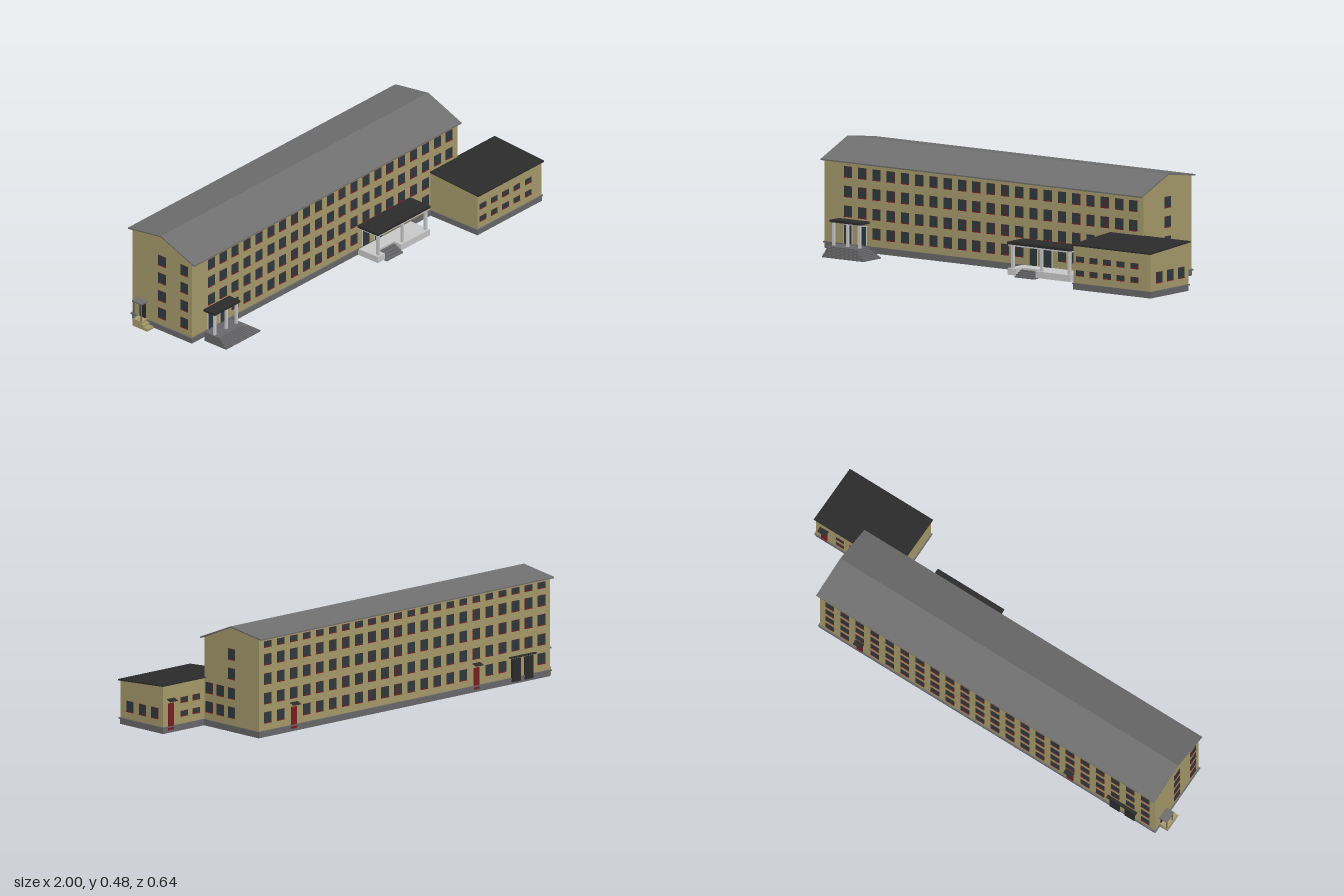
import * as THREE from 'three';
import { mergeGeometries } from 'three/addons/utils/BufferGeometryUtils.js';

const mat = (color) => new THREE.MeshStandardMaterial({ color, side: THREE.DoubleSide });
const WALL = mat(0xa99d6d), STONE = mat(0x6a6a6c), ROOF = mat(0x707070), DARK = mat(0x2c2c2c);
const RED = mat(0x7a2024), GLASS = mat(0x30393f), PALE = mat(0xd6d6d2);

// Box given by its min and max corners
function block(x0, x1, y0, y1, z0, z1) {
  return new THREE.BoxGeometry(x1 - x0, y1 - y0, z1 - z0)
    .translate((x0 + x1) / 2, (y0 + y1) / 2, (z0 + z1) / 2);
}

function add(parent, name, geometry, material) {
  const mesh = new THREE.Mesh(Array.isArray(geometry) ? mergeGeometries(geometry) : geometry, material);
  mesh.name = name;
  parent.add(mesh);
  return mesh;
}

const shapeOf = (pts) => new THREE.Shape(pts.map(([a, b]) => new THREE.Vector2(a, b)));

// Extrude a (z, y) profile from x0 to x1
function alongX(pts, x0, x1) {
  return new THREE.ExtrudeGeometry(shapeOf(pts), { depth: x1 - x0, bevelEnabled: false })
    .rotateY(-Math.PI / 2).translate(x1, 0, 0);
}

// Roof slab: top line of (z, y) points with a vertical thickness
function roofSlab(top, t, x0, x1) {
  const under = top.map(([z, y]) => [z, y - t]).reverse();
  return alongX([...top, ...under], x0, x1);
}

// Hollow walls open below; the end walls follow the (z, y) profile of the top
function wallShell(x0, x1, y0, top) {
  const [zf, yf] = top[0], [zb, yb] = top[top.length - 1];
  const end = shapeOf([[zf, y0], ...top, [zb, y0]]);
  const ends = [x0, x1].map((x) =>
    new THREE.ShapeGeometry(end).rotateY(-Math.PI / 2).translate(x, 0, 0));
  const sides = [[zf, yf], [zb, yb]].map(([z, y]) =>
    new THREE.PlaneGeometry(x1 - x0, y - y0).translate((x0 + x1) / 2, (y0 + y) / 2, z));
  return mergeGeometries([...ends, ...sides]);
}

// Horizontal ring around a rectangle, used for the plinth and its ledge
function ring(x0, x1, z0, z1, out, y0, y1) {
  const rect = (o) => [[x0 - o, -z1 - o], [x1 + o, -z1 - o], [x1 + o, -z0 + o], [x0 - o, -z0 + o]];
  const s = shapeOf(rect(out));
  s.holes.push(new THREE.Path(rect(-0.002).reverse().map(([a, b]) => new THREE.Vector2(a, b))));
  return new THREE.ExtrudeGeometry(s, { depth: y1 - y0, bevelEnabled: false })
    .rotateX(-Math.PI / 2).translate(0, y0, 0);
}

// Windows on one facade: [u, sill height, width, height], with u running along the wall
function windows(parent, name, list, position, angle) {
  const frames = [], panes = [];
  for (const [u, y, w, h] of list) {
    const l = u - w / 2, r = u + w / 2, g = 0.0015, bar = y + h * 0.72;
    frames.push(block(l, r, y, y + h, -0.012, 0.001), block(l, r, y - 0.002, y, 0, 0.004));
    panes.push(block(l + g / 2, u - g / 2, y + g, bar, 0, 0.002),
      block(u + g / 2, r - g / 2, y + g, bar, 0, 0.002),
      block(l + g / 2, r - g / 2, bar + g / 2, y + h - g / 2, 0, 0.002));
  }
  const group = new THREE.Group();
  group.name = name;
  add(group, 'windowFrames', frames, RED);
  add(group, 'windowPanes', panes, GLASS);
  group.position.set(...position);
  group.rotation.y = angle;
  parent.add(group);
}

export function createModel() {
  const model = new THREE.Group();
  model.name = 'building';
  const X0 = -0.96, X1 = 0.752, ZF = 0.043, ZB = -0.297;
  const AX0 = 0.58, AX1 = 0.994, AZ = 0.31;
  const sills = [0.08, 0.164, 0.25, 0.335], W = 0.044, H = 0.047, step = 0.0767;

  // Main block
  add(model, 'mainWalls', wallShell(X0, X1, 0.018, [[ZF, 0.405], [-0.127, 0.477], [ZB, 0.452]]), WALL);
  add(model, 'mainRoof', roofSlab([[0.062, 0.405], [-0.127, 0.482], [-0.316, 0.456]], 0.006, -0.967, 0.758), ROOF);
  add(model, 'mainPlinth', [ring(X0, X1, ZB, ZF, 0.001, 0.018, 0.041), ring(X0, X1, ZB, ZF, 0.006, 0.041, 0.047)], STONE);

  // Low wing
  add(model, 'wingWalls', wallShell(AX0, AX1, 0.018, [[AZ, 0.209], [ZF, 0.227]]), WALL);
  add(model, 'wingRoof', roofSlab([[0.319, 0.214], [0.036, 0.233]], 0.006, 0.575, 1.0), DARK);
  add(model, 'wingPlinth', [ring(AX0, AX1, ZF, AZ, 0.001, 0.018, 0.041), ring(AX0, AX1, ZF, AZ, 0.005, 0.041, 0.047)], STONE);

  // Front windows, leaving out the doors and the part behind the wing
  const front = [], back = [];
  sills.forEach((y, row) => {
    for (let i = 0; i < 21; i++) {
      if (row === 0 && [0, 1, 13, 14].includes(i)) continue;
      if (row < 2 && i > 18) continue;
      front.push([-0.835 + i * step, y, W, H]);
    }
  });
  windows(model, 'frontWindows', front, [0, 0, ZF], 0);

  // Back windows with a short attic row
  [...sills, 0.413].forEach((y, row) => {
    for (let i = 0; i < 22; i++) {
      if (row === 0 && [1, 2, 5, 19].includes(i)) continue;
      back.push([0.91 - i * step, y, W, row === 4 ? 0.026 : H]);
    }
  });
  windows(model, 'backWindows', back, [0, 0, ZB], Math.PI);

  // End windows
  const right = [], left = [];
  sills.forEach((y, row) => {
    right.push([0.127, y, W, H]);
    if (row < 2) right.push([-0.011, y, W, H], [0.058, y, W, H]);
    left.push([-0.127, y, W, H], [0.0, y, W, H]);
  });
  windows(model, 'rightEndWindows', right, [X1, 0, 0], Math.PI / 2);
  windows(model, 'leftEndWindows', left, [X0, 0, 0], -Math.PI / 2);

  // Wing windows
  const wingRows = [0.08, 0.14];
  windows(model, 'wingFrontWindows',
    wingRows.flatMap((y) => [0.615, 0.688, 0.761, 0.834, 0.907].map((x) => [x, y, 0.042, 0.023])), [0, 0, AZ], 0);
  windows(model, 'wingSideWindows', [0.249, 0.171, 0.095].map((z) => [-z, 0.08, W, H]), [AX1, 0, 0], Math.PI / 2);
  windows(model, 'wingBackWindows',
    wingRows.flatMap((y) => [0.8, 0.87].map((x) => [-x, y, 0.042, 0.023])), [0, 0, ZF], Math.PI);

  // Front doors
  add(model, 'frontDoors', [-0.835, -0.758, 0.162, 0.239].map((x) =>
    block(x - 0.02, x + 0.02, 0.045, 0.128, ZF - 0.01, ZF + 0.003)), GLASS);
  add(model, 'frontDoorFrames', [-0.835, -0.758, 0.162, 0.239].map((x) =>
    block(x - 0.024, x + 0.024, 0.045, 0.132, ZF - 0.008, ZF + 0.001)), PALE);

  // Back doors: two dark service doors, two red stair doors and one on the wing
  add(model, 'serviceDoors', [-0.833, -0.757].map((x) =>
    block(x - 0.025, x + 0.025, 0.028, 0.128, -0.304, ZB + 0.008)), DARK);
  add(model, 'serviceCanopy', block(-0.87, -0.72, 0.134, 0.139, -0.312, ZB), DARK);
  [[0.547, ZB, 0.1], [-0.527, ZB, 0.1], [0.95, ZF, 0.122]].forEach(([x, z, top]) => {
    add(model, 'redDoor', block(x - 0.016, x + 0.016, 0.03, top + 0.025, z - 0.004, z + 0.008), RED);
    const y = top + 0.038;
    add(model, 'doorCanopy', roofSlab([[z, y + 0.008], [z - 0.022, y]], 0.003, x - 0.022, x + 0.022), DARK);
  });

  // Left front porch: steps falling to the front and to one side
  const steps = [];
  for (let i = 0; i < 8; i++) {
    steps.push(block(-0.88, -0.657 - i * 0.0095, i * 0.0054, (i + 1) * 0.0054, ZF, 0.168 - i * 0.0055));
  }
  add(model, 'leftPorchSteps', steps, STONE);
  add(model, 'leftPorchCanopy', block(-0.885, -0.72, 0.144, 0.154, ZF, 0.107), DARK);
  add(model, 'leftPorchPosts', [-0.872, -0.797, -0.733].map((x) =>
    block(x - 0.005, x + 0.005, 0.043, 0.144, 0.09, 0.1)), PALE);

  // Middle porch: platform with a flight of steps let into it
  add(model, 'middlePorchPlatform', [
    block(0.11, 0.155, 0.018, 0.047, ZF, 0.158), block(0.26, 0.445, 0.018, 0.047, ZF, 0.158),
    block(0.155, 0.26, 0.018, 0.047, ZF, 0.115)], PALE);
  add(model, 'middlePorchSteps', [0, 1, 2, 3].map((i) =>
    block(0.155, 0.26, 0.012, 0.018 + i * 0.007, 0.115, 0.17 - i * 0.014)), STONE);
  add(model, 'middlePorchCanopy', block(0.108, 0.447, 0.15, 0.161, ZF, 0.16), DARK);
  add(model, 'middlePorchFascia', block(0.112, 0.443, 0.143, 0.15, ZF, 0.156), PALE);
  add(model, 'middlePorchPosts', [0.128, 0.283, 0.432].map((x) =>
    block(x - 0.006, x + 0.006, 0.047, 0.143, 0.138, 0.15)), PALE);

  // Side porch on the left end
  add(model, 'sidePorchPlatform', [
    block(-1, X0, 0.013, 0.048, -0.26, -0.21), block(-1, X0, 0.013, 0.036, -0.21, -0.198),
    block(-1, X0, 0.013, 0.025, -0.198, -0.176)], WALL);
  add(model, 'sidePorchCanopy', block(-1, X0, 0.128, 0.134, -0.265, -0.208), ROOF);
  add(model, 'sidePorchPosts', [-0.257, -0.216].map((z) =>
    block(-0.997, -0.992, 0.048, 0.128, z - 0.0025, z + 0.0025)), STONE);
  add(model, 'sideDoor', block(X0 - 0.003, X0 + 0.008, 0.048, 0.118, -0.254, -0.218), DARK);

  return model;
}
